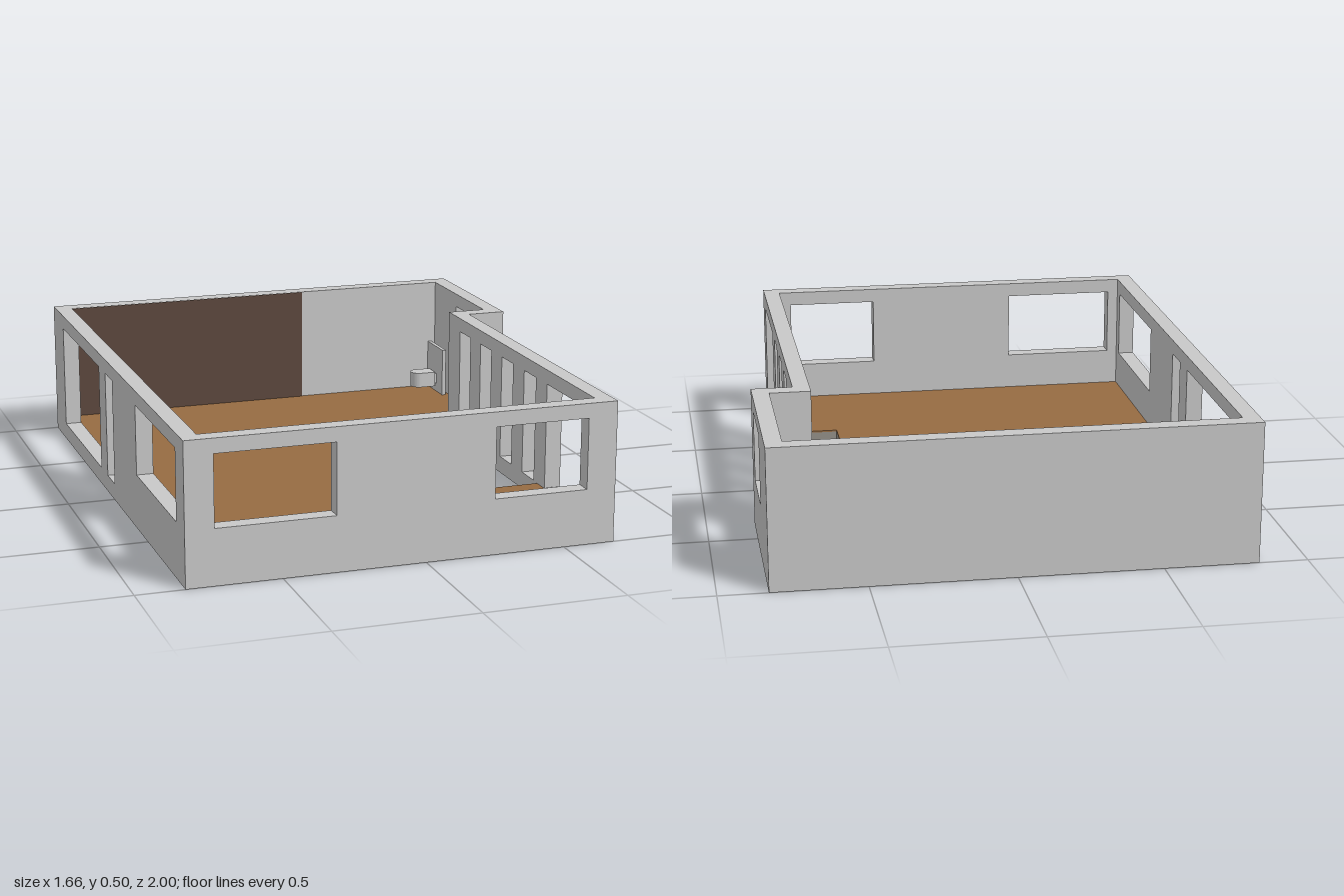
import * as THREE from 'three';

const material = (name, color) => {
  const m = new THREE.MeshStandardMaterial({ color });
  m.name = name;
  return m;
};

export function createModel() {
  const group = new THREE.Group();
  group.name = 'openHouseFloor';
  const plaster = material('lightGreyPlaster', 0xc8c8c8);
  const wood = material('woodFloor', 0x966b42);
  const brown = material('darkBrownPaint', 0x5c483e);
  const deckGrey = material('deckGrey', 0x949089);
  const black = material('blackSeams', 0x2a2a2a);
  const H = 0.5, T = 0.06;

  const add = (name, geometry, mat) => {
    const mesh = new THREE.Mesh(geometry, mat);
    mesh.name = name;
    group.add(mesh);
    return mesh;
  };
  // Box given by its lower and upper limits on each axis
  const block = (name, mat, x0, x1, y0, y1, z0, z1) =>
    add(name, new THREE.BoxGeometry(x1 - x0, y1 - y0, z1 - z0)
      .translate((x0 + x1) / 2, (y0 + y1) / 2, (z0 + z1) / 2), mat);

  // Wall with rectangular openings [from, to, sill, head]
  const wallGeometry = (a, b, openings) => {
    const rect = (P, x0, x1, y0, y1) => {
      const p = new P();
      p.moveTo(x0, y0); p.lineTo(x1, y0); p.lineTo(x1, y1); p.lineTo(x0, y1);
      p.closePath();
      return p;
    };
    const shape = rect(THREE.Shape, a, b, 0, H);
    openings.forEach(([u0, u1, y0, y1]) => shape.holes.push(rect(THREE.Path, u0, u1, y0, y1)));
    return new THREE.ExtrudeGeometry(shape, { depth: T, bevelEnabled: false });
  };
  const wallAlongX = (name, x0, x1, zBack, openings = []) =>
    add(name, wallGeometry(x0, x1, openings).translate(0, 0, zBack), plaster);
  const wallAlongZ = (name, z0, z1, xMax, openings = []) =>
    add(name, wallGeometry(z0, z1, openings).rotateY(-Math.PI / 2).translate(xMax, 0, 0), plaster);

  // Outer walls
  const sill = 0.197, low = 0.062, head = 0.448;
  wallAlongX('backWall', -0.83, 0.83, -1);
  wallAlongX('frontWall', -0.83, 0.685, 0.94, [
    [-0.73, -0.315, sill, head], [0.245, 0.58, sill, head]]);
  wallAlongZ('rightWall', -0.94, 0.94, -0.77, [
    [-0.828, -0.205, low, head], [-0.1, 0.008, low, head], [0.355, 0.895, sill, head]]);
  const slots = [0, 1, 2, 3].map(i => [-0.29 + i * 0.2105, -0.183 + i * 0.2105, low, head]);
  wallAlongZ('leftWall', -0.35, 0.94, 0.685, [...slots, [0.547, 0.903, low, head]]);
  wallAlongX('bayReturnWall', 0.625, 0.83, -0.41);
  wallAlongZ('bayWall', -0.94, -0.41, 0.83, [[-0.7, -0.45, sill, head]]);

  // Painted section of the back wall
  block('paintedWall', brown, -0.77, 0.185, 0.06, H - 0.001, -0.94, -0.936);

  // Floor outline with the stair opening beside the left wall
  const outline = [[-0.77, -0.94], [0.77, -0.94], [0.77, -0.41], [0.625, -0.41], [0.625, -0.175],
    [0.45, -0.175], [0.45, 0.48], [0.625, 0.48], [0.625, 0.94], [-0.77, 0.94]];
  const slab = (name, mat, y0, y1) => {
    const shape = new THREE.Shape(outline.map(([x, z]) => new THREE.Vector2(x, -z)));
    add(name, new THREE.ExtrudeGeometry(shape, { depth: y1 - y0, bevelEnabled: false })
      .rotateX(-Math.PI / 2).translate(0, y0, 0), mat);
  };
  slab('floorDeck', deckGrey, 0.015, 0.054);
  slab('floorCovering', wood, 0.054, 0.06);

  // Trim under the edge of the stair opening
  block('stairTrimSide', deckGrey, 0.425, 0.45, 0.004, 0.015, -0.2, 0.505);
  block('stairTrimBack', deckGrey, 0.45, 0.625, 0.004, 0.015, -0.2, -0.175);
  block('stairTrimFront', deckGrey, 0.45, 0.625, 0.004, 0.015, 0.48, 0.505);

  // Joints and board seams on the underside
  const y0 = 0.012, y1 = 0.0152;
  block('mainJoint', black, 0.178, 0.192, y0, y1, -0.94, 0.94);
  [-0.435, 0.475].forEach(z => block('crossJoint', black, -0.77, 0.178, y0, y1, z - 0.007, z + 0.007));
  [-0.25, 0.65].forEach(z => block('shortJoint', black, 0.192, z < 0 ? 0.625 : 0.62, y0, y1, z - 0.006, z + 0.006));
  [-0.69, -0.21, 0.02, 0.25, 0.71].forEach(z =>
    block('boardSeam', black, -0.77, 0.178, 0.014, y1, z - 0.002, z + 0.002));
  [-0.71, -0.48, 0.82].forEach(z =>
    block('boardSeam', black, 0.192, 0.625, 0.014, y1, z - 0.002, z + 0.002));

  // Wall-hung toilet and its panel
  block('toiletPanel', plaster, 0.74, 0.755, 0.06, 0.25, -0.94, -0.77);
  block('toiletNeck', plaster, 0.72, 0.74, 0.095, 0.135, -0.88, -0.835);
  const r = 0.034;
  const seat = new THREE.Shape();
  seat.moveTo(0.73, -r);
  seat.lineTo(0.73, r);
  seat.lineTo(0.635 + r, r);
  seat.absarc(0.635 + r, 0, r, Math.PI / 2, Math.PI * 1.5, false);
  seat.closePath();
  add('toiletBowl', new THREE.ExtrudeGeometry(seat, { depth: 0.06, bevelEnabled: false, curveSegments: 10 })
    .rotateX(-Math.PI / 2).translate(0, 0.085, -0.858), plaster);

  return group;
}
